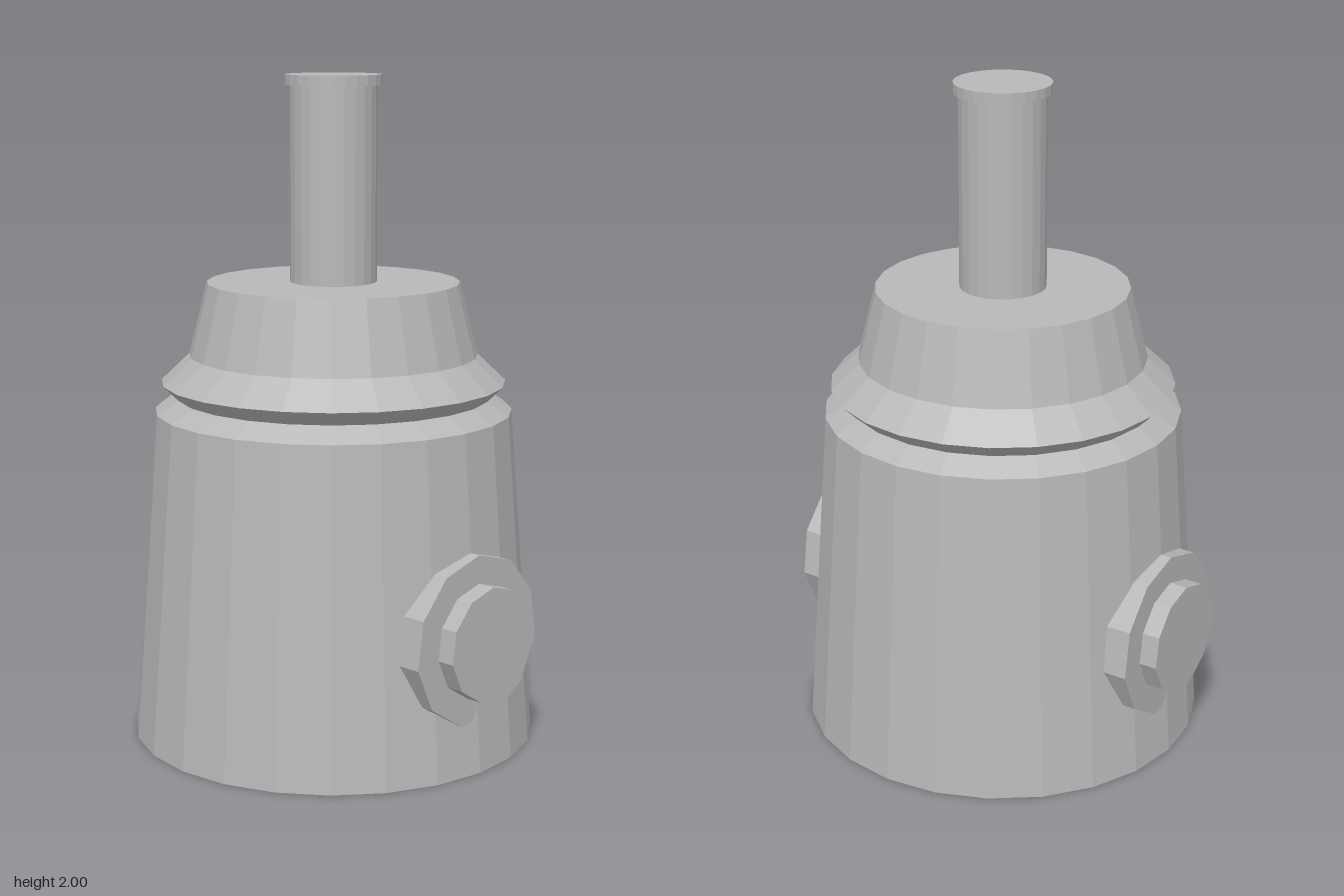
import * as THREE from 'three';

export function createModel() {
  const model = new THREE.Group();
  const grey = new THREE.MeshStandardMaterial({ color: 0xb8b8b8, flatShading: true });
  grey.name = 'grey';

  function add(name, geometry, x = 0, y = 0) {
    const mesh = new THREE.Mesh(geometry, grey);
    mesh.name = name;
    mesh.position.set(x, y, 0);
    model.add(mesh);
    return mesh;
  }

  // Turned body: tapered base, grooved neck, flared rim and shoulder
  const profile = [
    [0, 0], [0.615, 0], [0.54, 1.0], [0.475, 1.043],
    [0.52, 1.087], [0.435, 1.168], [0.38, 1.387], [0, 1.387],
  ].map(([r, y]) => new THREE.Vector2(r, y));
  add('body', new THREE.LatheGeometry(profile, 24));

  // Plunger stem and its cap
  add('stem', new THREE.CylinderGeometry(0.13, 0.13, 0.62, 24), 0, 1.67);
  add('stemCap', new THREE.CylinderGeometry(0.144, 0.144, 0.03, 24), 0, 1.985);

  // Stepped side bosses, eleven-sided with one corner pointing up
  function disc(radius, inner, outer) {
    return new THREE.CylinderGeometry(radius, radius, outer - inner, 11)
      .rotateX(-Math.PI / 2)
      .rotateY(Math.PI / 2);
  }
  for (const [label, side] of [['left', 1], ['right', -1]]) {
    add(label + 'Flange', disc(0.254, 0.45, 0.6), side * 0.525, 0.4);
    add(label + 'Knob', disc(0.17, 0.55, 0.655), side * 0.6025, 0.4);
  }
  return model;
}
